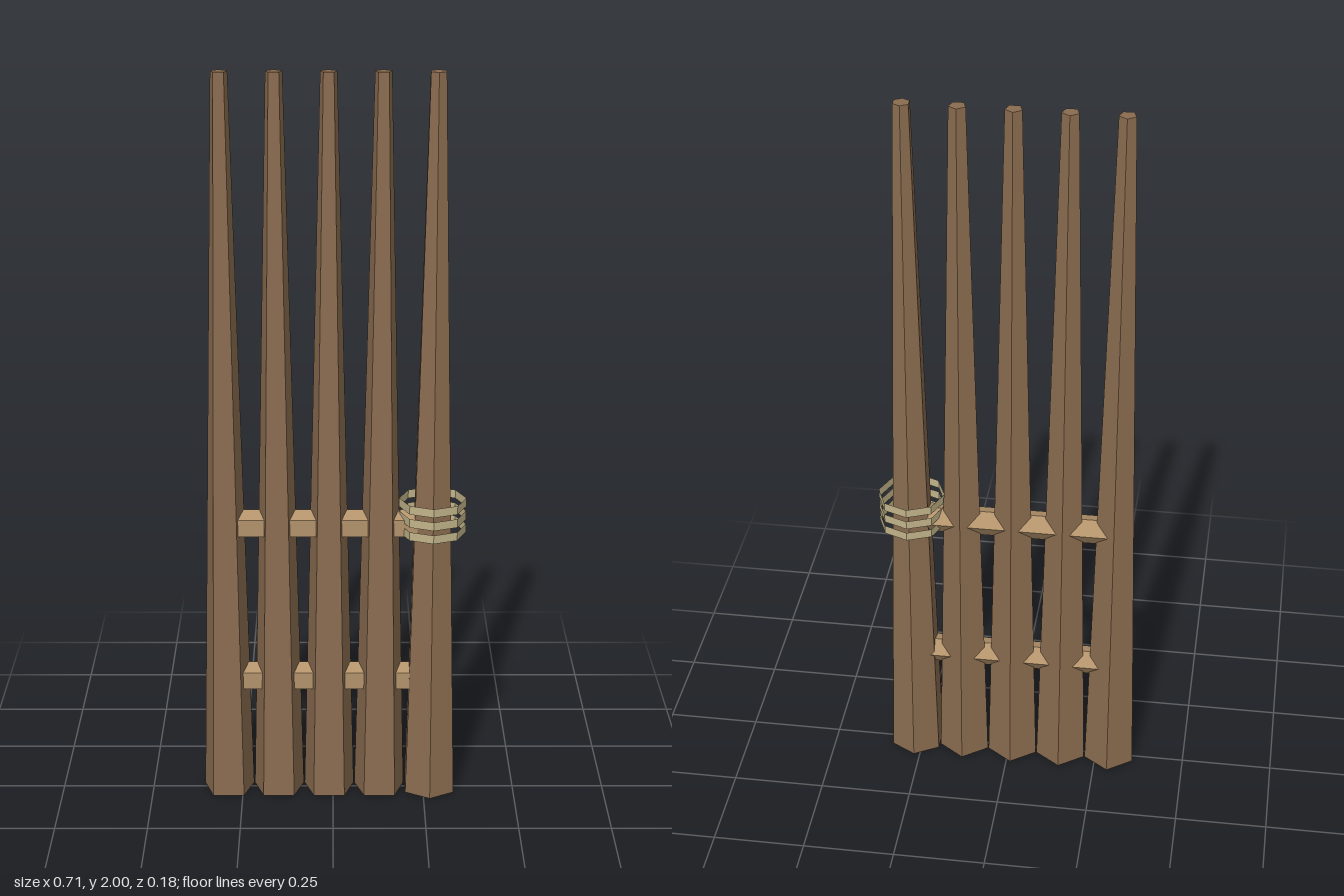
import * as THREE from 'three';

export function createModel() {
  const model = new THREE.Group();
  model.name = 'palisade';

  const material = (name, color, extra = {}) =>
    Object.assign(new THREE.MeshStandardMaterial({ color, flatShading: true, ...extra }), { name });
  const wood = material('dark wood', 0x8b6d50);
  const paleWood = material('pale wood', 0xb4946c);
  const rope = material('rope', 0xc2b48a, { side: THREE.DoubleSide });

  const add = (name, geometry, mat, x, y) => {
    const mesh = new THREE.Mesh(geometry, mat);
    mesh.name = name;
    mesh.position.set(x, y, 0);
    model.add(mesh);
    return mesh;
  };

  // Tapered posts, with one corner pointing to the back
  const spacing = 0.139, firstX = -0.289, endX = firstX + 4 * spacing;
  const postGeo = new THREE.CylinderGeometry(0.023, 0.072, 2, 5, 1, false, Math.PI);
  for (let i = 0; i < 4; i++) add('post', postGeo, wood, firstX + i * spacing, 1);

  // Stouter six-sided end post
  add('endPost', new THREE.CylinderGeometry(0.023, 0.077, 2, 6), wood, endX, 1);

  // Two five-sided rails running through the posts
  const railGeo = new THREE.CylinderGeometry(0.04, 0.04, endX - firstX, 5, 1, false, Math.PI);
  railGeo.rotateZ(Math.PI / 2);
  for (const y of [0.335, 0.78]) add('rail', railGeo, paleWood, (firstX + endX) / 2, y);

  // Open rope bands around the end post
  const bandGeo = new THREE.CylinderGeometry(0.09, 0.09, 0.024, 8, 1, true);
  for (const y of [0.77, 0.807, 0.844]) add('ropeBand', bandGeo, rope, endX, y);

  return model;
}
